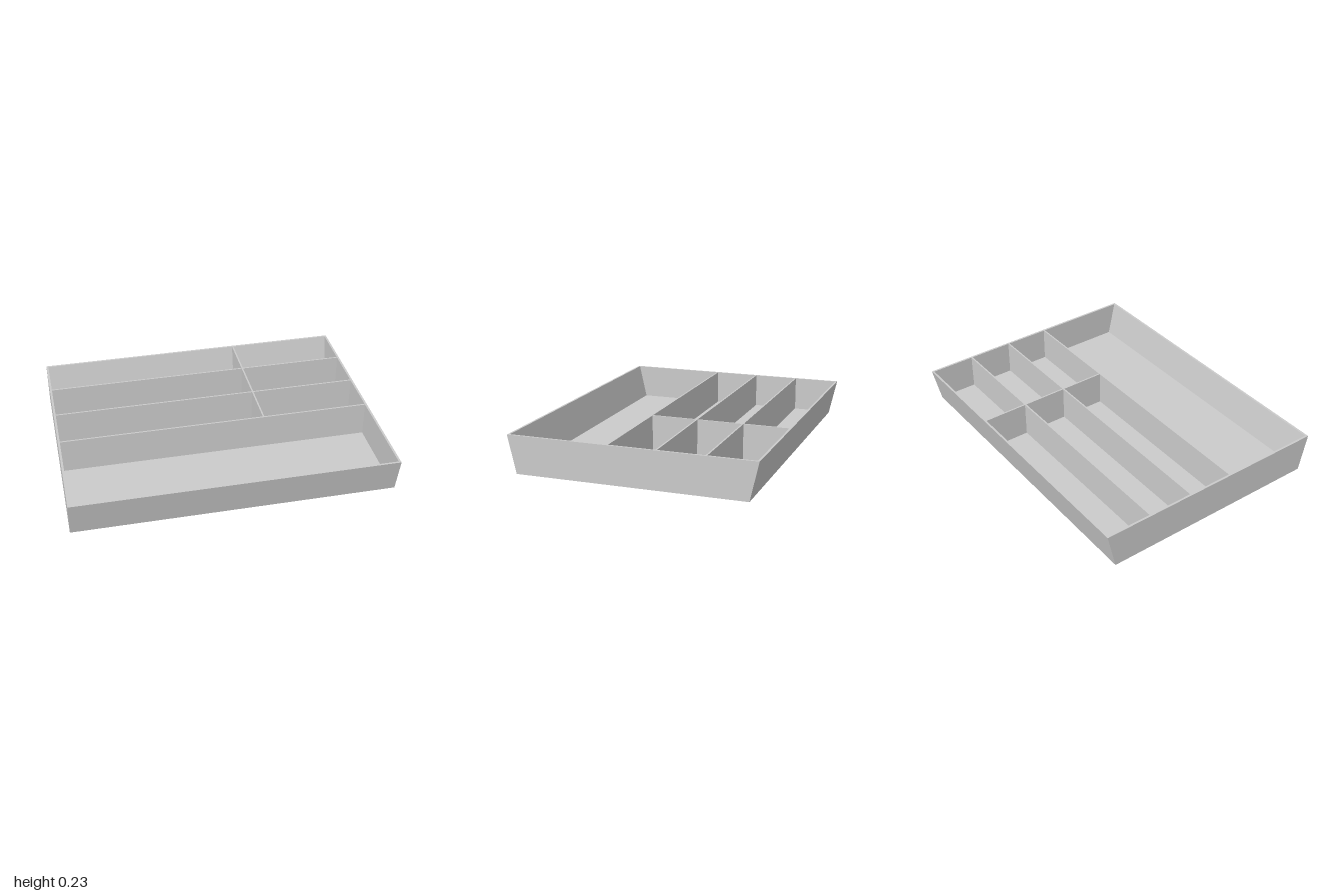
import * as THREE from 'three';

const H = 0.235;          // tray height
const FLOOR = 0.012;      // floor thickness
const WALL = 0.013;       // wall thickness
const DIV = 0.01;         // divider thickness
const Z_TOP = 0.763, Z_BASE = 0.71;
const X_IN = 1 - WALL;    // inner face of the end walls
const Z_IN_TOP = Z_TOP - WALL;
const Z_IN_BASE = Z_BASE + (Z_TOP - Z_BASE) * FLOOR / H - WALL;

export function createModel() {
  const group = new THREE.Group();
  const material = new THREE.MeshStandardMaterial({ color: 0xcccccc, flatShading: true });

  function add(name, geometry) {
    const mesh = new THREE.Mesh(geometry, material);
    mesh.name = name;
    group.add(mesh);
  }

  // Extrude a (z, y) outline along x between x0 and x1
  function profileAlongX(points, x0, x1) {
    const shape = new THREE.Shape(points.map(([z, y]) => new THREE.Vector2(-z, y)));
    const geometry = new THREE.ExtrudeGeometry(shape, { depth: x1 - x0, bevelEnabled: false });
    return geometry.rotateY(Math.PI / 2).translate(x0, 0, 0);
  }

  // Floor with the sloping front and back walls, one channel section
  add('floorAndSlopedWalls', profileAlongX([
    [-Z_BASE, 0], [Z_BASE, 0], [Z_TOP, H], [Z_IN_TOP, H],
    [Z_IN_BASE, FLOOR], [-Z_IN_BASE, FLOOR], [-Z_IN_TOP, H], [-Z_TOP, H],
  ], -X_IN, X_IN));

  // Upright end walls
  const endOutline = [[-Z_BASE, 0], [Z_BASE, 0], [Z_TOP, H], [-Z_TOP, H]];
  add('leftEndWall', profileAlongX(endOutline, X_IN, 1));
  add('rightEndWall', profileAlongX(endOutline, -1, -X_IN));

  // Lengthwise dividers; the two rear ones are split by the cross divider
  const crossX = 0.31, frontZ = 0.13;
  function lengthDivider(name, z, x0, x1) {
    const geometry = new THREE.BoxGeometry(x1 - x0, H - FLOOR, DIV);
    add(name, geometry.translate((x0 + x1) / 2, (H + FLOOR) / 2, z));
  }
  lengthDivider('frontDivider', frontZ, -X_IN, X_IN);
  [-0.165, -0.46].forEach((z, i) => {
    lengthDivider(`longDivider${i + 1}`, z, -X_IN, crossX - DIV / 2);
    lengthDivider(`shortDivider${i + 1}`, z, crossX + DIV / 2, X_IN);
  });

  // Cross divider, its rear edge following the sloping back wall
  add('crossDivider', profileAlongX([
    [-Z_IN_BASE, FLOOR], [frontZ - DIV / 2, FLOOR], [frontZ - DIV / 2, H], [-Z_IN_TOP, H],
  ], crossX - DIV / 2, crossX + DIV / 2));

  return group;
}
